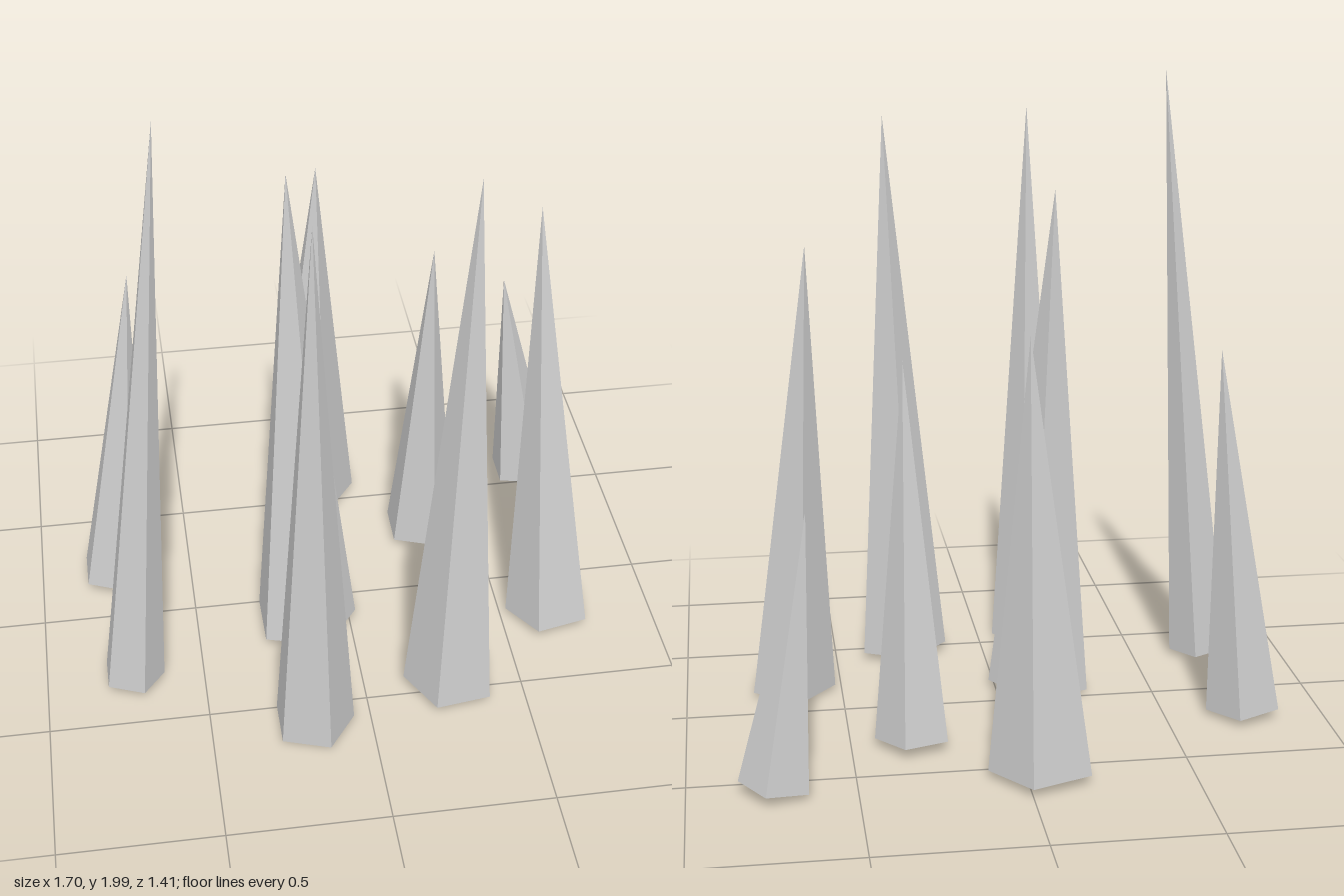
import * as THREE from 'three';

// Each spike: base centre [x, y, z], tip [x, y, z], radius, turn about its axis
const SPIKES = [
  { base: [-0.05, 0.03, -0.555], tip: [-0.01, 1.34, -0.55], radius: 0.163, turn: 0 },
  { base: [0.736, 0.03, -0.563], tip: [0.632, 0.85, -0.55], radius: 0.113, turn: 0 },
  { base: [0.307, 0.03, -0.29], tip: [0.322, 1.2, -0.222], radius: 0.12, turn: 0 },
  { base: [-0.752, 0.03, -0.2], tip: [-0.645, 1.2, -0.222], radius: 0.12, turn: 0 },
  { base: [-0.727, 0.03, 0.309], tip: [-0.56, 1.99, 0.25], radius: 0.1, turn: 0 },
  { base: [-0.149, 0.025, 0.114], tip: [-0.173, 1.66, 0.02], radius: 0.171, turn: 0 },
  { base: [-0.182, 0.005, 0.573], tip: [-0.173, 1.84, 0.605], radius: 0.13, turn: 0 },
  { base: [0.274, 0.03, 0.474], tip: [0.318, 1.84, 0.435], radius: 0.15, turn: 0.48 },
  { base: [0.661, 0.025, 0.187], tip: [0.59, 1.5, 0.05], radius: 0.142, turn: 0.5 },
];

const UP = new THREE.Vector3(0, 1, 0);

// Five-sided cone leaning from its base centre to its tip
function makeSpike({ base, tip, radius, turn }, material) {
  const foot = new THREE.Vector3(...base);
  const axis = new THREE.Vector3(...tip).sub(foot);
  const height = axis.length();
  const geometry = new THREE.ConeGeometry(radius, height, 5);
  geometry.translate(0, height / 2, 0);
  geometry.rotateY(Math.PI / 2 + turn); // one corner points to +x before turning
  const spike = new THREE.Mesh(geometry, material);
  spike.position.copy(foot);
  spike.quaternion.setFromUnitVectors(UP, axis.normalize());
  return spike;
}

export function createModel() {
  const group = new THREE.Group();
  group.name = 'spikeCluster';
  const material = new THREE.MeshStandardMaterial({ color: 0xcccccc, flatShading: true });
  SPIKES.forEach((spec, i) => {
    const spike = makeSpike(spec, material);
    spike.name = `spike${i + 1}`;
    group.add(spike);
  });
  return group;
}
